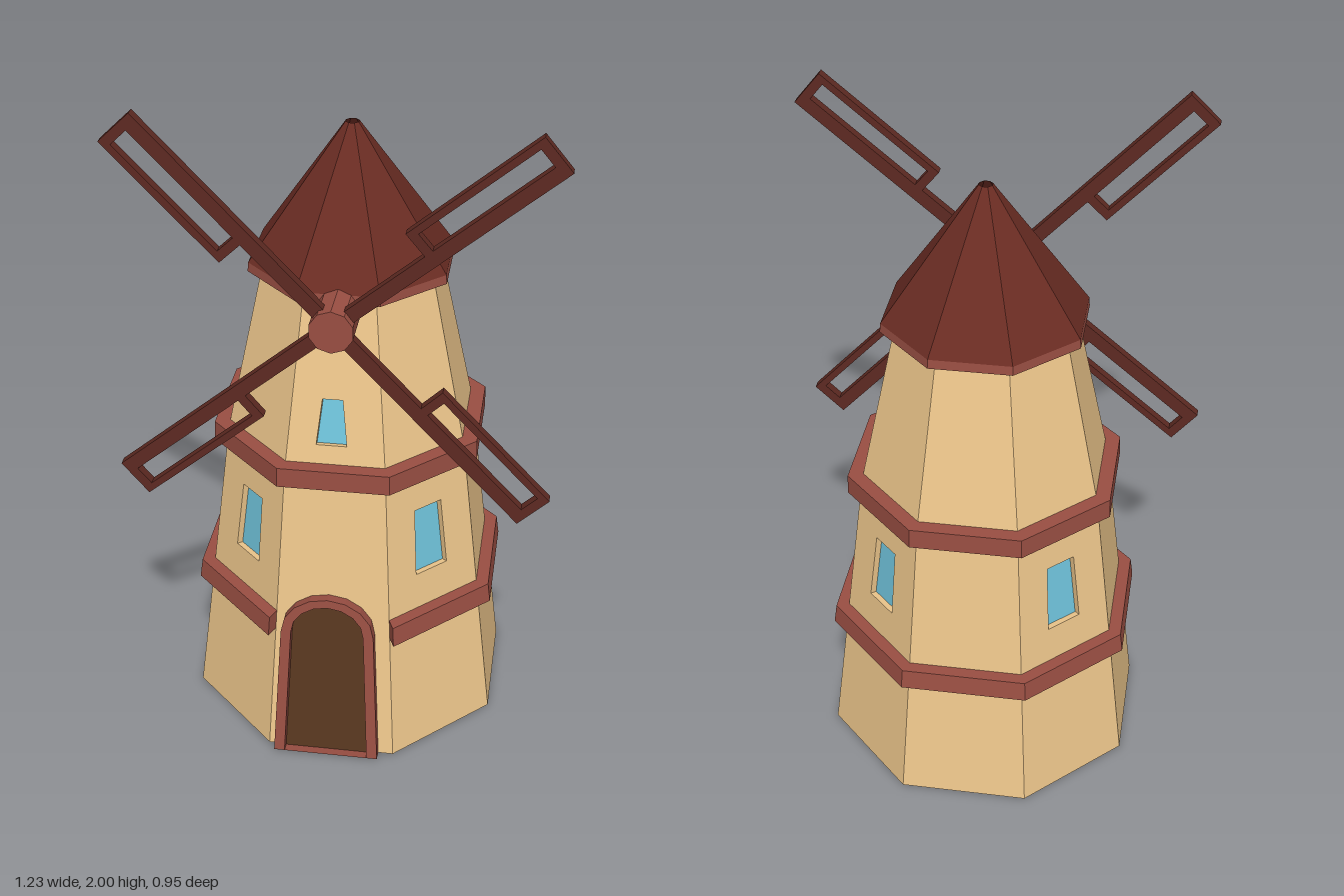
import * as THREE from 'three';

const mat = (color) => new THREE.MeshStandardMaterial({ color, flatShading: true, side: THREE.DoubleSide });
const SIDES = 8, STEP = Math.PI / 4, HALF = Math.PI / 8;
const corner = (apothem) => apothem / Math.cos(HALF);
const v2 = (x, y) => new THREE.Vector2(x, y);

export function createModel() {
  const wallMat = mat(0xeec78c), trimMat = mat(0x9a4f43), roofMat = mat(0x6a2c23);
  const sailMat = mat(0x5e2a22), glassMat = mat(0x70c4dc), doorMat = mat(0x58371f);

  const model = new THREE.Group();
  model.name = 'windmill';
  const body = new THREE.Group();
  body.name = 'body';
  body.position.set(-0.003, 0, -0.018);
  model.add(body);

  const add = (parent, name, geometry, material) => {
    const mesh = new THREE.Mesh(geometry, material);
    mesh.name = name;
    parent.add(mesh);
    return mesh;
  };
  const extrude = (shape, z0, z1) =>
    new THREE.ExtrudeGeometry(shape, { depth: z1 - z0, bevelEnabled: false }).translate(0, 0, z0);

  // Symmetric trapezoid centred on cx
  const trapezoid = (y0, w0, y1, w1, cx = 0) =>
    [v2(cx - w0, y0), v2(cx + w0, y0), v2(cx + w1, y1), v2(cx - w1, y1)];

  // One leaning wall panel; its group gives a local frame (y up the slope, z outward)
  const wallPanel = (k, y0, r0, y1, r1, win) => {
    const turn = new THREE.Group();
    turn.name = 'wallSide';
    turn.rotation.y = k * STEP;
    body.add(turn);
    const panel = new THREE.Group();
    panel.name = 'wallPanel';
    panel.position.set(0, y0, r0);
    panel.rotation.x = -Math.atan2(r0 - r1, y1 - y0);
    turn.add(panel);
    const slope = Math.hypot(r0 - r1, y1 - y0), s = slope / (y1 - y0), t = Math.tan(HALF);
    const shape = new THREE.Shape(trapezoid(0, r0 * t, slope, r1 * t));
    if (win) {
      const a = (win.y0 - y0) * s, b = (win.y1 - y0) * s, e = 0.004, cx = win.cx || 0;
      const hole = trapezoid(a, win.w0, b, win.w1, cx);
      shape.holes.push(new THREE.Path(hole));
      const jamb = new THREE.Shape(trapezoid(a - e, win.w0 + e, b + e, win.w1 + e, cx));
      jamb.holes.push(new THREE.Path(hole));
      add(panel, 'windowReveal', extrude(jamb, -0.03, -0.001), wallMat);
      add(panel, 'windowGlass', extrude(new THREE.Shape(hole), -0.03, -0.02), glassMat);
    }
    add(panel, 'wall', new THREE.ShapeGeometry(shape), wallMat);
    return panel;
  };

  // Tower in two tiers, with windows on the lower diagonals and the upper front
  const sideWindow = { y0: 0.575, y1: 0.785, w0: 0.058, w1: 0.049 };
  const frontWindow = { y0: 1.01, y1: 1.145, w0: 0.044, w1: 0.029, cx: -0.012 };
  let frontPanel;
  for (let k = 0; k < SIDES; k++) {
    const lower = wallPanel(k, 0, 0.46, 0.93, 0.35, k % 2 ? sideWindow : null);
    wallPanel(k, 0.93, 0.35, 1.45, 0.243, k === 0 ? frontWindow : null);
    if (k === 0) frontPanel = lower;
  }

  // Arched door and its frame, leaning with the front wall
  const arch = (w0, w1, spring, top) => {
    const pts = [v2(-w0, 0), v2(w0, 0)];
    for (let i = 0; i <= 8; i++) {
      const a = (i / 8) * Math.PI;
      pts.push(v2(w1 * Math.cos(a), spring + (top - spring) * Math.sin(a)));
    }
    return pts;
  };
  const opening = arch(0.126, 0.108, 0.42, 0.512);
  const frameShape = new THREE.Shape(arch(0.158, 0.138, 0.42, 0.538));
  frameShape.holes.push(new THREE.Path(opening));
  add(frontPanel, 'doorFrame', extrude(frameShape, -0.015, 0.035), trimMat).position.x = -0.012;
  add(frontPanel, 'door', extrude(new THREE.Shape(opening), -0.012, 0.004), doorMat).position.x = -0.012;

  // Octagonal hoops round the tower; 'open' leaves out the front side
  const hoop = (name, y0, y1, outer0, outer1, inner, open) => {
    const p = [v2(corner(outer0), y0), v2(corner(outer1), y1), v2(corner(inner), y1), v2(corner(inner), y0)];
    const n = open ? SIDES - 1 : SIDES;
    add(body, name, new THREE.LatheGeometry([...p, p[0]], n, HALF, n * STEP), trimMat);
    if (open) for (const a of [HALF, -HALF])
      add(body, name + 'End', new THREE.ShapeGeometry(new THREE.Shape(p)), trimMat).rotation.y = a - Math.PI / 2;
  };
  hoop('lowerBand', 0.405, 0.465, 0.45, 0.442, 0.385, true);
  hoop('upperBand', 0.895, 0.955, 0.39, 0.388, 0.335, false);
  hoop('eaveTrim', 1.435, 1.462, 0.283, 0.281, 0.24, false);

  // Roof, open at the tip
  add(body, 'roof', new THREE.LatheGeometry(
    [v2(corner(0.281), 1.462), v2(0.02, 1.857)], SIDES, HALF), roofMat);

  // Hub and four sails
  const rotor = new THREE.Group();
  rotor.name = 'rotor';
  rotor.position.set(-0.003, 1.412, 0.35);
  model.add(rotor);
  const hub = new THREE.CylinderGeometry(0.063, 0.063, 0.19, 10).rotateX(Math.PI / 2);
  add(rotor, 'hub', hub, trimMat).position.z = -0.055;

  // Each bar: x0, x1 along the arm, y0, y1 across it
  const bars = [
    ['sailArm', 0, 0.782, -0.02, 0.02],
    ['sailRail', 0.335, 0.782, 0.08, 0.1],
    ['sailInnerBar', 0.335, 0.362, 0.02, 0.08],
    ['sailOuterBar', 0.754, 0.782, 0.02, 0.08],
  ];
  for (const deg of [39.7, 133.4, 219.7, 313.4]) {
    const sail = new THREE.Group();
    sail.name = 'sail';
    sail.rotation.z = THREE.MathUtils.degToRad(deg);
    rotor.add(sail);
    for (const [name, x0, x1, y0, y1] of bars)
      add(sail, name, new THREE.BoxGeometry(x1 - x0, y1 - y0, 0.03), sailMat)
        .position.set((x0 + x1) / 2, (y0 + y1) / 2, 0);
  }
  return model;
}
